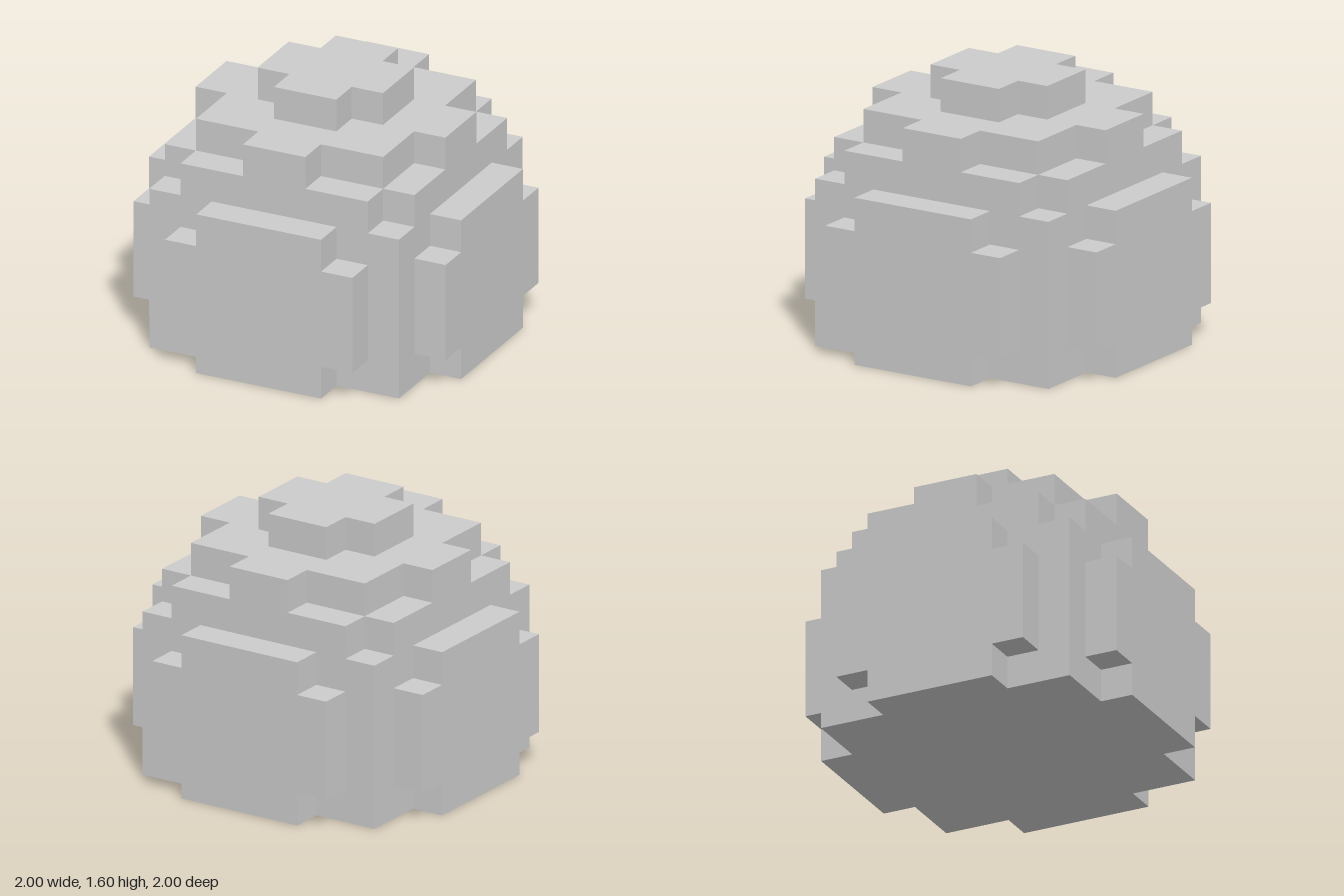
import * as THREE from 'three';

const material = new THREE.MeshStandardMaterial({ color: 0xcccccc, flatShading: true });

// Extruded stepped outline: one quadrant of corners, mirrored into all four
function steppedSlab(quadrant, depth) {
  const back = [...quadrant].reverse();
  const points = [
    ...quadrant.map(([x, y]) => new THREE.Vector2(x, y)),
    ...back.map(([x, y]) => new THREE.Vector2(-x, y)),
    ...quadrant.map(([x, y]) => new THREE.Vector2(-x, -y)),
    ...back.map(([x, y]) => new THREE.Vector2(x, -y)),
  ];
  return new THREE.ExtrudeGeometry(new THREE.Shape(points), { depth, bevelEnabled: false });
}

export function createModel() {
  const group = new THREE.Group();

  // Horizontal tiers, from the square body up to the cap
  const tiers = [
    ['body', 0, 1, [[0.8, 0.8]]],
    ['shoulderTier', 1, 0.2, [[0.8, 0.6], [0.6, 0.6], [0.6, 0.8]]],
    ['upperTier', 1.2, 0.2, [[0.8, 0.2], [0.6, 0.2], [0.6, 0.6], [0.2, 0.6], [0.2, 0.8]]],
    ['cap', 1.4, 0.2, [[0.4, 0.2], [0.2, 0.2], [0.2, 0.4]]],
  ];
  for (const [name, y, height, quadrant] of tiers) {
    const tier = new THREE.Mesh(steppedSlab(quadrant, height).rotateX(-Math.PI / 2), material);
    tier.name = name;
    tier.position.y = y;
    group.add(tier);
  }

  // Raised panel on each of the four sides
  const panelGeometry = steppedSlab([[0.6, 0.3], [0.4, 0.3], [0.4, 0.5]], 0.2).translate(0, 0.5, 0.8);
  ['frontPanel', 'leftPanel', 'backPanel', 'rightPanel'].forEach((name, i) => {
    const panel = new THREE.Mesh(panelGeometry, material);
    panel.name = name;
    panel.rotation.y = i * Math.PI / 2;
    group.add(panel);
  });

  return group;
}
